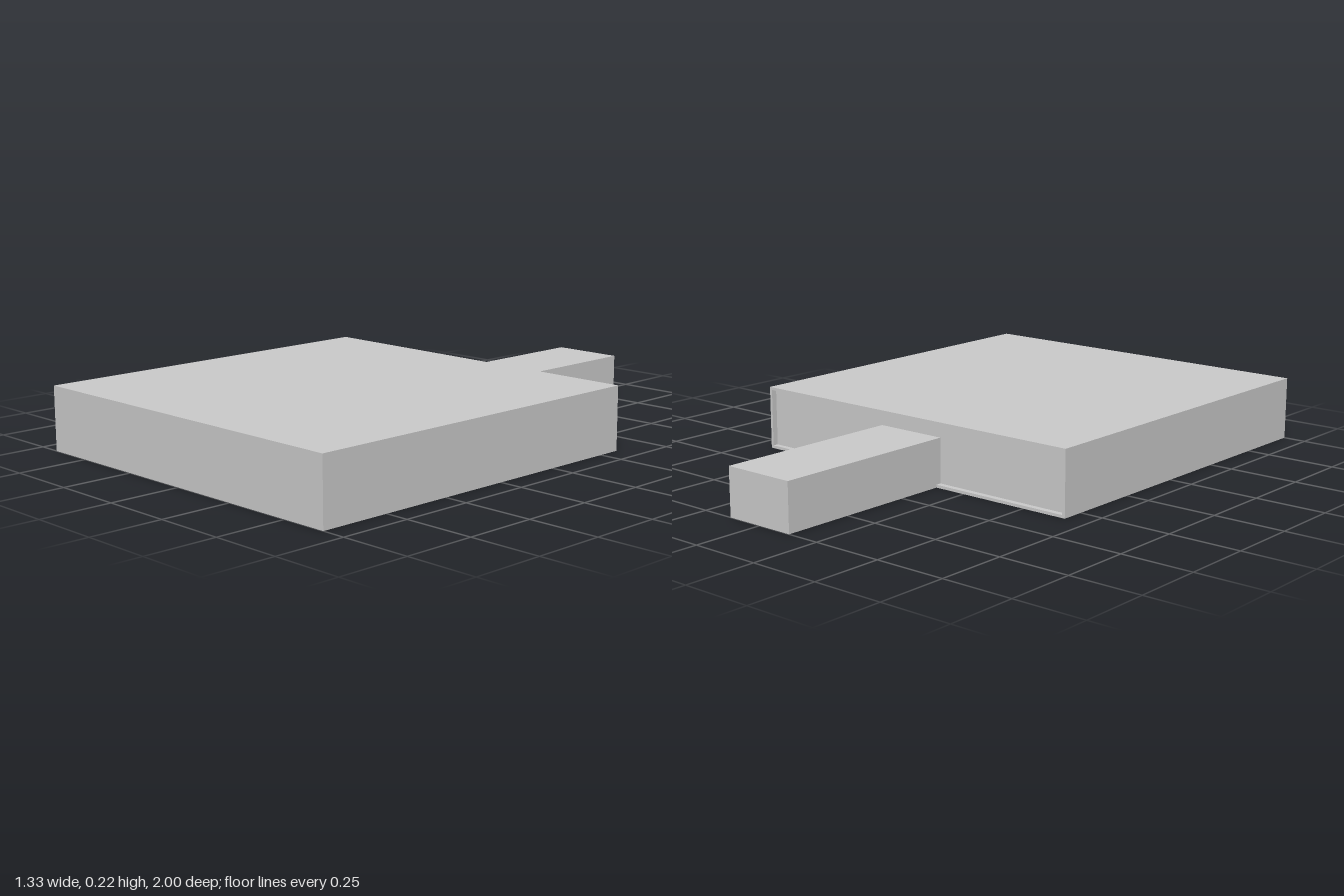
import * as THREE from 'three';

const W = 1.333, H = 0.225;           // slab width and height
const FRONT = 1, BACK = -0.333;       // slab extent along z
const RIM = 0.01, RECESS = 0.02;      // thin lip around the back panel
const ARM_W = 0.264, ARM_H = 0.167;

const material = new THREE.MeshStandardMaterial({ color: 0xcccccc, flatShading: true });

// Box standing on y = 0 between two z positions
function block(name, width, height, z0, z1) {
  const geometry = new THREE.BoxGeometry(width, height, z1 - z0);
  geometry.translate(0, height / 2, (z0 + z1) / 2);
  const mesh = new THREE.Mesh(geometry, material);
  mesh.name = name;
  return mesh;
}

function rectangle(Path, x, y0, y1) {
  const path = new Path();
  path.moveTo(-x, y0);
  path.lineTo(x, y0);
  path.lineTo(x, y1);
  path.lineTo(-x, y1);
  path.closePath();
  return path;
}

export function createModel() {
  const group = new THREE.Group();
  group.name = 'slabWithArm';

  // Main slab, its back panel set in slightly
  group.add(block('slab', W, H, BACK + RECESS, FRONT));

  // Thin lip framing the recessed back panel
  const frame = rectangle(THREE.Shape, W / 2, 0, H);
  frame.holes.push(rectangle(THREE.Path, W / 2 - RIM, RIM, H - RIM));
  const lip = new THREE.Mesh(
    new THREE.ExtrudeGeometry(frame, { depth: RECESS, bevelEnabled: false }), material);
  lip.position.z = BACK;
  lip.name = 'backLip';
  group.add(lip);

  // Narrow arm reaching backwards from the panel
  group.add(block('arm', ARM_W, ARM_H, -1, BACK + RECESS));

  return group;
}
